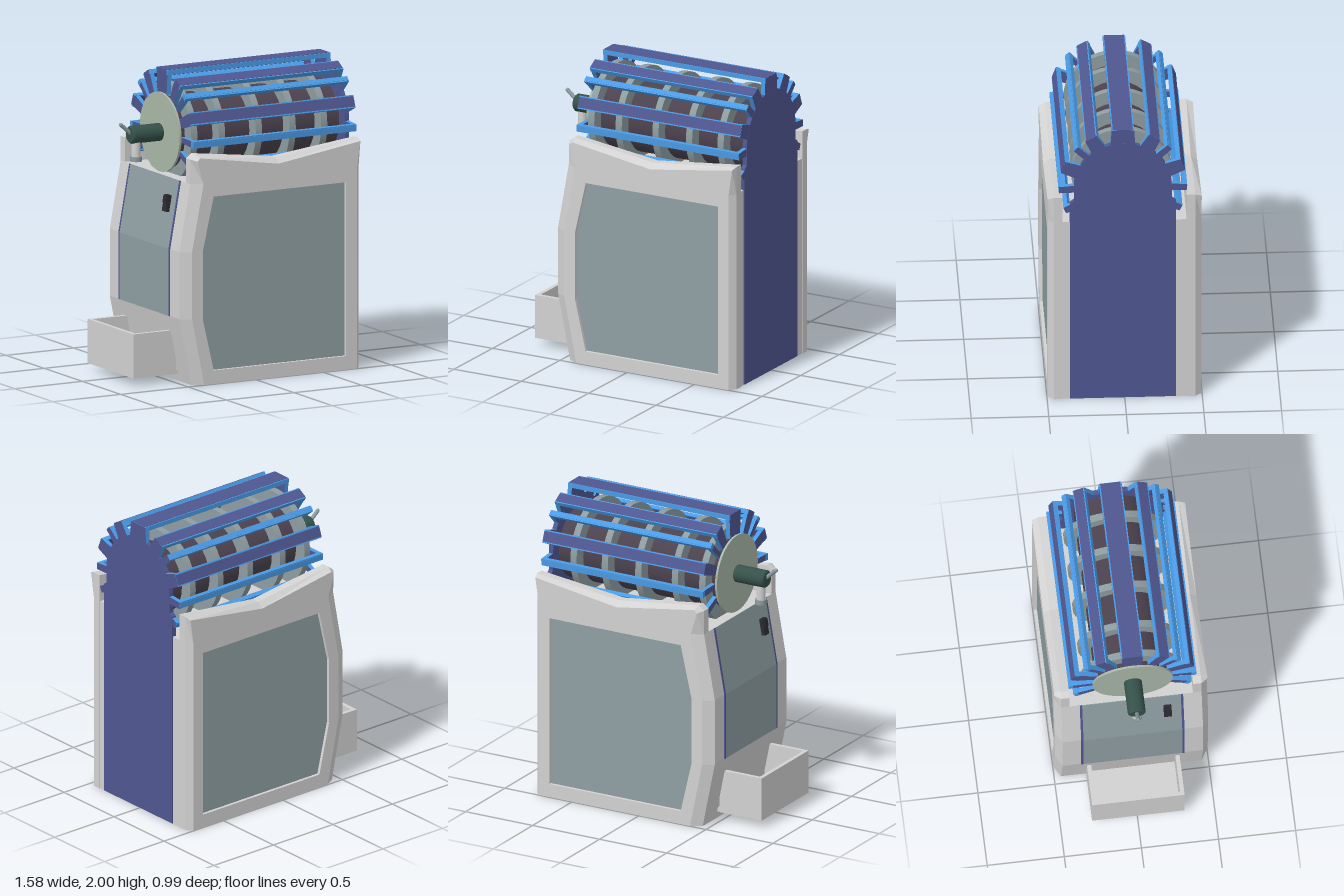
import * as THREE from 'three';

const mat = (name, color, side = THREE.FrontSide) => {
  const m = new THREE.MeshStandardMaterial({ color, side });
  m.name = name;
  return m;
};

export function createModel() {
  const grey = mat('light grey', 0xd2d2d2, THREE.DoubleSide);
  const glass = mat('grey glass', 0x8f9fa3);
  const indigo = mat('indigo', 0x4f5791);
  const blue = mat('bright blue', 0x4a9ce8);
  const maroon = mat('dark drum', 0x4c424e);
  const steel = mat('steel', 0x8f9da0);
  const pale = mat('pale green', 0xaab8a8);
  const green = mat('dark green', 0x35524a);
  const black = mat('black', 0x2b2a30);

  const model = new THREE.Group();
  const add = (name, geometry, material, x = 0, y = 0, z = 0, parent = model) => {
    const m = new THREE.Mesh(geometry, material);
    m.name = name;
    m.position.set(x, y, z);
    parent.add(m);
    return m;
  };
  const box = (name, material, x0, x1, y0, y1, z0, z1, parent = model) =>
    add(name, new THREE.BoxGeometry(x1 - x0, y1 - y0, z1 - z0), material,
      (x0 + x1) / 2, (y0 + y1) / 2, (z0 + z1) / 2, parent);
  const shapeOf = (pts) => new THREE.Shape(pts.map(([x, y]) => new THREE.Vector2(x, y)));

  // Flat face in the xy plane, turned towards +z or -z
  const face = (pts, z, dir) => {
    const g = new THREE.ShapeGeometry(shapeOf(pts.map(([x, y]) => [x * dir, y])));
    if (dir < 0) g.rotateY(Math.PI);
    return g.translate(0, 0, z);
  };

  // Faceted strip through outlines with equal point counts; s = -1 mirrors it in z
  const loft = (layers, s) => {
    const v = [];
    for (let k = 0; k + 1 < layers.length; k++) {
      const [a, b] = [layers[k], layers[k + 1]];
      for (let i = 0; i < a.pts.length; i++) {
        const j = (i + 1) % a.pts.length;
        const p = (l, n) => [...l.pts[n], l.z * s];
        const q = [p(a, i), p(a, j), p(b, j), p(b, i)];
        if (s < 0) q.reverse();
        v.push(...q[0], ...q[1], ...q[2], ...q[0], ...q[2], ...q[3]);
      }
    }
    const g = new THREE.BufferGeometry();
    g.setAttribute('position', new THREE.Float32BufferAttribute(v, 3));
    g.computeVertexNormals();
    return g;
  };

  // Front and back casings with bevelled edges and recessed windows
  const outer = [[-0.45, 0], [0.785, 0], [0.785, 1.32], [0.785, 1.505], [0.17, 1.435],
    [-0.42, 1.51], [-0.46, 1.48], [-0.46, 1.32], [-0.54, 0.88], [-0.54, 0.44]];
  const inset = [[-0.38, 0], [0.75, 0], [0.75, 1.32], [0.775, 1.49], [0.17, 1.4],
    [-0.41, 1.49], [-0.43, 1.47], [-0.385, 1.32], [-0.47, 0.88], [-0.47, 0.44]];
  const opening = [[-0.31, 0.09], [0.67, 0.09], [0.67, 1.23], [0.67, 1.23], [0.17, 1.23],
    [-0.31, 1.23], [-0.31, 1.23], [-0.31, 1.23], [-0.39, 0.88], [-0.39, 0.43]];
  const pane = [0, 1, 2, 5, 8, 9].map((i) => opening[i]);
  for (const s of [1, -1]) {
    const side = s > 0 ? 'front' : 'back';
    add(side + 'Casing', loft([{ pts: outer, z: 0.4 }, { pts: outer, z: 0.455 },
      { pts: inset, z: 0.497 }, { pts: opening, z: 0.497 }, { pts: opening, z: 0.475 }], s), grey);
    add(side + 'CasingInside', face(outer, 0.4 * s, -s), grey);
    add(side + 'Window', face(pane, 0.476 * s, s), glass);
  }

  // Cabinet core between the casings
  const core = [[-0.45, 0], [0.78, 0], [0.78, 1.32], [-0.46, 1.32], [-0.54, 0.88], [-0.54, 0.44]];
  add('cabinetCore', new THREE.ExtrudeGeometry(shapeOf(core), { depth: 0.8, bevelEnabled: false }),
    grey, 0, 0, -0.4);

  // Thin panels and edge strips that follow the bulging left face
  const leftPlate = (name, material, z0, z1, t) => {
    const line = [[-0.54, 0.44], [-0.54, 0.88], [-0.46, 1.32]];
    const pts = [...line, ...line.map(([x, y]) => [x - t, y]).reverse()];
    add(name, new THREE.ExtrudeGeometry(shapeOf(pts), { depth: z1 - z0, bevelEnabled: false }),
      material, 0, 0, z0);
  };
  leftPlate('leftPanel', glass, -0.32, 0.32, 0.004);
  leftPlate('leftStripBack', indigo, -0.335, -0.32, 0.005);
  leftPlate('leftStripFront', indigo, 0.32, 0.335, 0.005);
  const knob = new THREE.Group();
  knob.name = 'switch';
  knob.position.set(-0.495, 1.16, 0.23);
  knob.rotation.z = -0.18;
  model.add(knob);
  box('switchBase', black, -0.025, 0.01, -0.055, 0.055, -0.025, 0.025, knob);
  box('switchRocker', black, -0.035, 0, 0, 0.05, -0.018, 0.018, knob);

  // Open tray
  const tray = new THREE.Group();
  tray.name = 'tray';
  model.add(tray);
  box('trayFloor', grey, -0.79, -0.46, 0.05, 0.08, -0.29, 0.3, tray);
  box('trayEnd', grey, -0.795, -0.768, 0.05, 0.34, -0.295, 0.305, tray);
  box('trayBackWall', grey, -0.768, -0.48, 0.05, 0.34, -0.295, -0.268, tray);
  box('trayFrontWall', grey, -0.768, -0.48, 0.05, 0.34, 0.278, 0.305, tray);

  // Right end plate with a rounded top
  const CY = 1.585, CZ = 0.012, R = 0.415;
  const plate = new THREE.Shape();
  plate.moveTo(-0.342, 0.004);
  plate.lineTo(0.342, 0.004);
  plate.lineTo(0.342, 1.46);
  plate.lineTo(0.315, 1.48);
  plate.lineTo(0.315, CY);
  plate.absarc(0, CY, 0.315, 0, Math.PI, false);
  plate.lineTo(-0.315, 1.48);
  plate.lineTo(-0.342, 1.46);
  const plateGeo = new THREE.ExtrudeGeometry(plate, { depth: 0.032, bevelEnabled: false, curveSegments: 24 });
  add('endPlate', plateGeo.rotateY(Math.PI / 2), indigo, 0.756, 0, CZ);

  // Drum with its discs, along x
  const drum = new THREE.Group();
  drum.name = 'drum';
  drum.position.set(0, CY, CZ);
  model.add(drum);
  const rod = (name, material, r, x0, x1, seg = 32) => add(name,
    new THREE.CylinderGeometry(r, r, x1 - x0, seg).rotateZ(Math.PI / 2), material, (x0 + x1) / 2, 0, 0, drum);
  rod('drumCore', maroon, 0.24, -0.41, 0.76);
  for (const x of [-0.362, -0.158, 0.115, 0.365, 0.598]) rod('drumDisc', steel, 0.325, x - 0.023, x + 0.023, 40);
  rod('endDisc', pale, 0.26, -0.435, -0.42, 40);

  // Slats round the drum, each with a tapered tooth at both ends
  const tooth = (w, root, x, parent) => {
    const a = w / 2, b = a + root;
    const g = new THREE.ExtrudeGeometry(shapeOf([[-b, 0.25], [b, 0.25], [a, R - 0.002], [-a, R - 0.002]]),
      { depth: 0.03, bevelEnabled: false });
    add('slatTooth', g.rotateY(Math.PI / 2), [indigo, blue], x, 0, 0, parent);
  };
  const slats = [[0, 0.145], [30, 0.085], [47, 0.04], [69, 0.085], [93, 0.045], [115, 0.045]];
  for (const [deg, w] of slats) {
    for (const s of deg ? [1, -1] : [1]) {
      const slat = new THREE.Group();
      slat.name = 'slat';
      slat.rotation.x = THREE.MathUtils.degToRad(deg * s);
      drum.add(slat);
      const wide = w > 0.06, h = w / 2;
      box('slatBar', wide ? indigo : blue, -0.42, 0.785, R - 0.03, R, -h + 0.008, h - 0.008, slat);
      for (const e of [-1, 1]) {
        const z = e * (h - 0.004);
        box('slatEdge', blue, -0.42, 0.785, R - 0.032, R - 0.002, z - 0.004, z + 0.004, slat);
      }
      const root = wide ? 0.012 : 0.005;
      tooth(w, -root, -0.418, slat);
      tooth(w, root, 0.757, slat);
    }
  }

  // Tap on the left end: chamfered barrel, lever and spout
  const barrel = [[0, -0.115], [0.05, -0.115], [0.058, -0.105], [0.058, 0.105], [0.05, 0.115], [0, 0.115]]
    .map(([x, y]) => new THREE.Vector2(x, y));
  const barrelGeo = new THREE.LatheGeometry(barrel, 24).toNonIndexed();
  barrelGeo.computeVertexNormals();
  add('tapBarrel', barrelGeo.rotateZ(Math.PI / 2), green, -0.543, 0, 0, drum);
  const lever = add('tapLever', new THREE.CapsuleGeometry(0.013, 0.1, 4, 12), steel, -0.685, 0.04, 0, drum);
  lever.rotation.z = 0.85;
  add('tapSpout', new THREE.CylinderGeometry(0.03, 0.03, 0.11, 20), grey, -0.61, -0.095, 0, drum);
  add('tapNozzle', new THREE.CylinderGeometry(0.038, 0.038, 0.032, 20), steel, -0.61, -0.16, 0, drum);

  return model;
}
